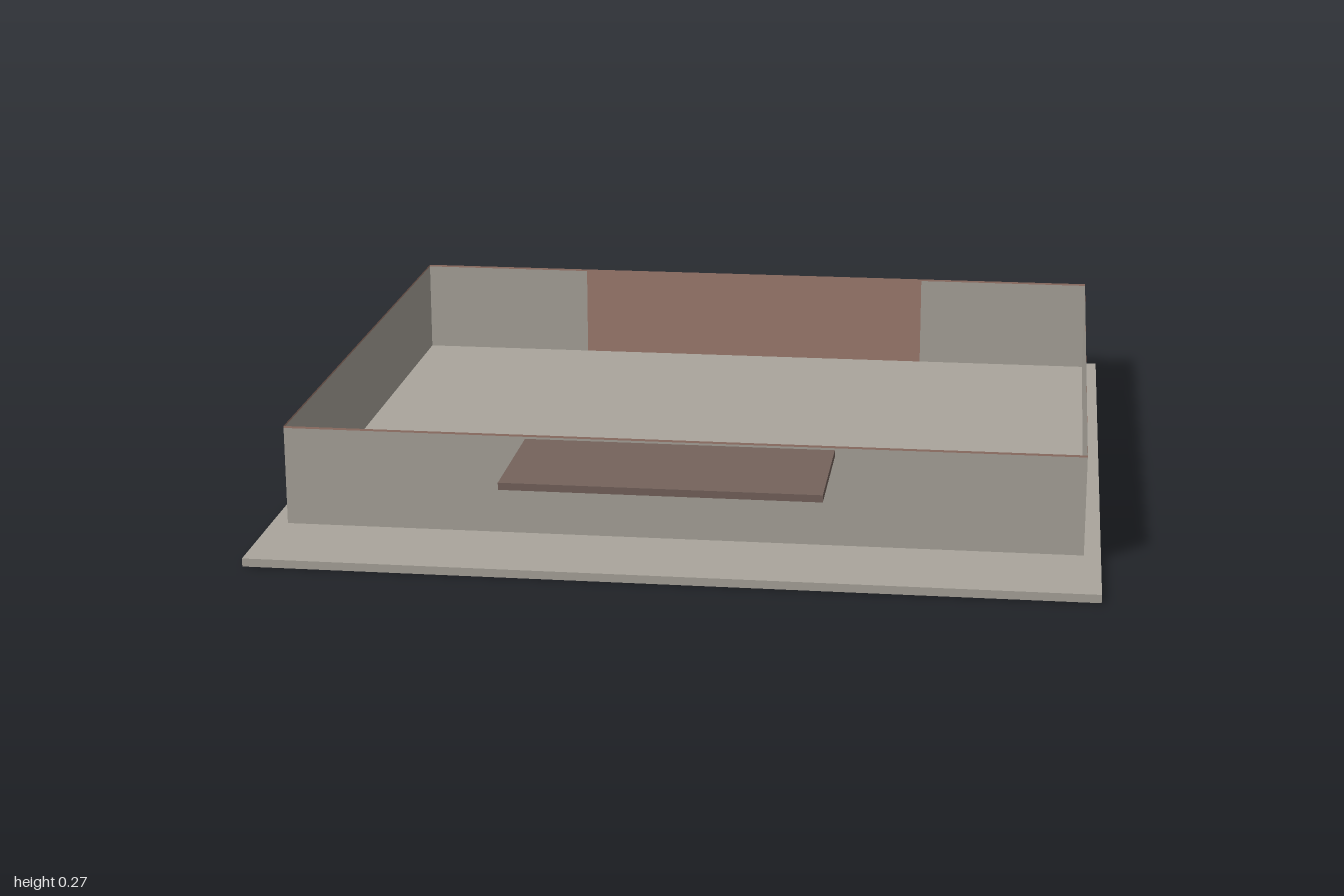
import * as THREE from 'three';

const stone = new THREE.MeshStandardMaterial({ color: 0xaaa59c, side: THREE.DoubleSide });
stone.name = 'stone';
const clay = new THREE.MeshStandardMaterial({ color: 0xa07d70, side: THREE.DoubleSide });
clay.name = 'clay';
const wood = new THREE.MeshStandardMaterial({ color: 0x75635c });
wood.name = 'wood';

export function createModel() {
  const group = new THREE.Group();

  const add = (name, geometry, material, x, y, z, turn = 0) => {
    const mesh = new THREE.Mesh(geometry, material);
    mesh.name = name;
    mesh.position.set(x, y, z);
    mesh.rotation.y = turn;
    group.add(mesh);
  };

  // Box given by its limits on each axis
  const slab = (name, material, [x0, x1], [y0, y1], [z0, z1]) =>
    add(name, new THREE.BoxGeometry(x1 - x0, y1 - y0, z1 - z0), material,
      (x0 + x1) / 2, (y0 + y1) / 2, (z0 + z1) / 2);

  const side = 0.96, back = -0.96, front = 0.665;
  const bottom = 0.02, top = 0.267, rim = 0.005;
  const midZ = (front + back) / 2, depth = front - back;

  // Paper-thin wall section
  const wall = (name, material, width, y0, y1, x, z, turn) =>
    add(name, new THREE.PlaneGeometry(width, y1 - y0), material, x, (y0 + y1) / 2, z, turn);

  // Base plate and projecting canopy
  slab('basePlate', stone, [-1, 1], [0, bottom], [-1, 0.925]);
  slab('canopy', wood, [-0.37, 0.37], [0.24, 0.257], [front, 1]);

  // Front wall and side walls
  wall('frontWall', stone, side * 2, bottom, top - rim, 0, front, 0);
  for (const s of [-1, 1]) {
    const label = s > 0 ? 'left' : 'right';
    wall(label + 'Wall', stone, depth, bottom, top - rim, s * side, midZ, s * Math.PI / 2);
    wall(label + 'Rim', clay, depth, top - rim, top, s * side, midZ, s * Math.PI / 2);
  }

  // Back wall with a clay centre panel
  const panel = 0.49;
  wall('backPanel', clay, panel * 2, bottom, top - rim, 0, back, Math.PI);
  for (const s of [-1, 1])
    wall('backWallEnd', stone, side - panel, bottom, top - rim, s * (side + panel) / 2, back, Math.PI);

  // Narrow rim along the top of the front and back walls
  wall('frontRim', clay, side * 2, top - rim, top, 0, front, 0);
  wall('backRim', clay, side * 2, top - rim, top, 0, back, Math.PI);

  return group;
}
